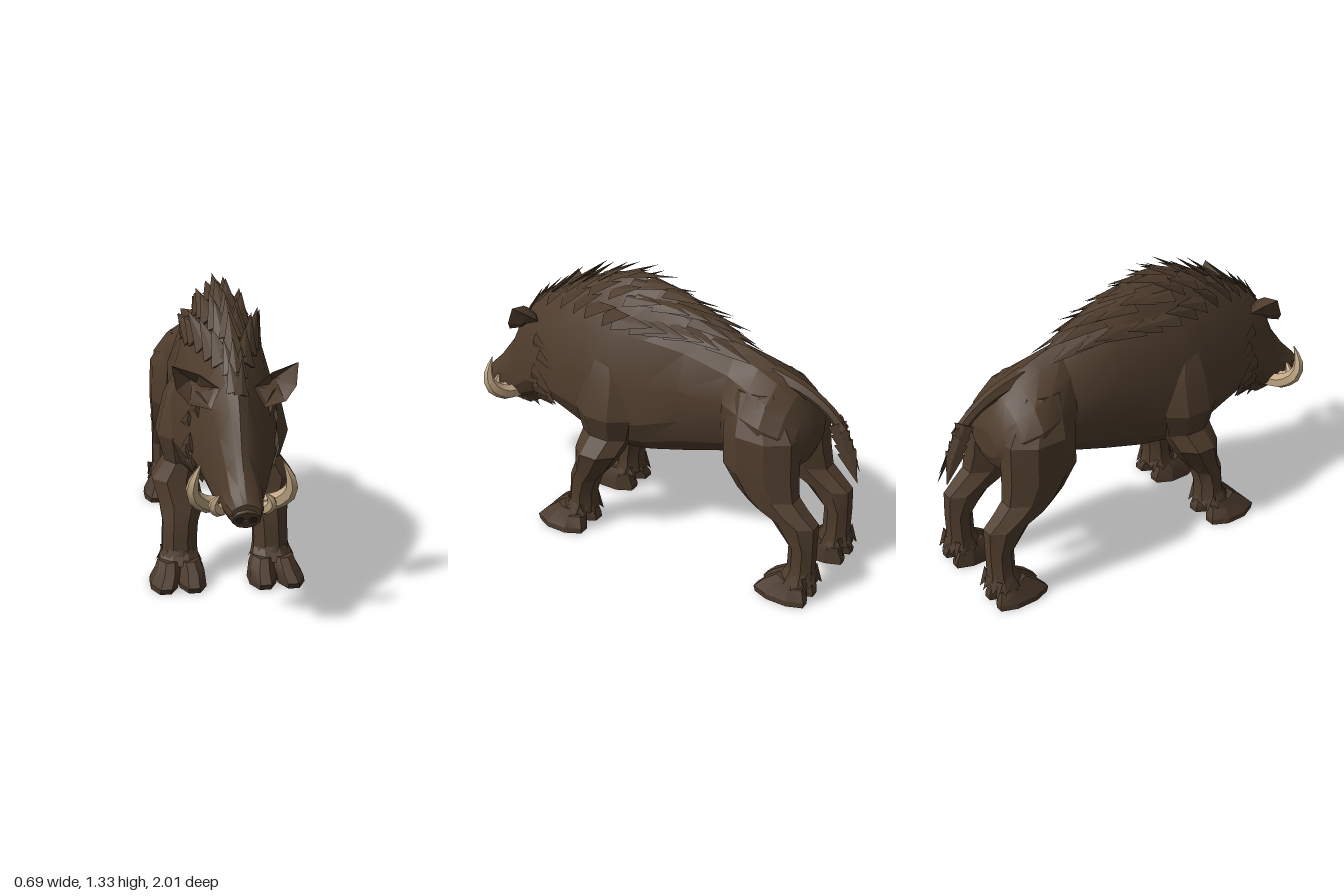
import * as THREE from 'three';
import { mergeGeometries, toCreasedNormals } from 'three/addons/utils/BufferGeometryUtils.js';

const V = (x, y, z) => new THREE.Vector3(x, y, z);
const mat = (name, color) => Object.assign(new THREE.MeshStandardMaterial({ color }), { name });

// Body sections along z: z, bottom, top, height of widest point, half width
const SECTIONS = [
  [0.99, 0.515, 0.585, 0.55, 0.06], [0.93, 0.48, 0.645, 0.55, 0.08], [0.84, 0.47, 0.765, 0.56, 0.09],
  [0.77, 0.46, 0.92, 0.6, 0.118], [0.68, 0.5, 1.03, 0.68, 0.155], [0.58, 0.55, 1.095, 0.7, 0.19],
  [0.45, 0.5, 1.17, 0.7, 0.215], [0.3, 0.43, 1.235, 0.7, 0.24], [0.15, 0.41, 1.265, 0.68, 0.25],
  [0, 0.43, 1.25, 0.7, 0.232], [-0.2, 0.48, 1.175, 0.78, 0.212], [-0.4, 0.54, 1.07, 0.78, 0.17],
  [-0.52, 0.56, 1.03, 0.78, 0.222], [-0.62, 0.56, 0.985, 0.77, 0.245], [-0.7, 0.57, 0.925, 0.75, 0.215],
  [-0.75, 0.59, 0.85, 0.73, 0.165], [-0.775, 0.65, 0.78, 0.71, 0.1],
];

// Point on a body section; a = 0 is the spine, PI is the belly
function ringPoint([z, bottom, top, mid, w], a) {
  const c = Math.cos(a), s = Math.sin(a);
  const x = Math.sign(s) * w * Math.pow(Math.abs(s), c > 0 ? 1.45 : 0.95);
  return V(x, c > 0 ? mid + (top - mid) * c : mid + (mid - bottom) * c, z);
}

// Point on the body skin at any z
function skin(z, a) {
  let i = 0;
  while (i < SECTIONS.length - 2 && SECTIONS[i + 1][0] > z) i++;
  const A = SECTIONS[i], B = SECTIONS[i + 1], t = (z - A[0]) / (B[0] - A[0]);
  return ringPoint(A.map((v, k) => v + (B[k] - v) * t), a);
}

// Closed skin through rings of equal length, always facing outward
function loft(rings, crease = 0.35) {
  const n = rings[0].length, pts = rings.flat(), idx = [];
  for (let r = 0; r < rings.length - 1; r++)
    for (let i = 0; i < n; i++) {
      const a = r * n + i, b = r * n + (i + 1) % n;
      idx.push(a, b, a + n, b, b + n, a + n);
    }
  [0, rings.length - 1].forEach((r) => {
    const mid = rings[r].reduce((m, p) => m.add(p), V(0, 0, 0)).divideScalar(n);
    const c = pts.push(mid) - 1;
    for (let i = 0; i < n; i++) {
      const a = r * n + i, b = r * n + (i + 1) % n;
      r ? idx.push(a, b, c) : idx.push(b, a, c);
    }
  });
  let volume = 0;
  for (let i = 0; i < idx.length; i += 3)
    volume += pts[idx[i]].dot(V(0, 0, 0).crossVectors(pts[idx[i + 1]], pts[idx[i + 2]]));
  if (volume < 0) idx.reverse();
  const g = new THREE.BufferGeometry().setFromPoints(pts);
  g.setIndex(idx);
  return toCreasedNormals(g, crease);
}

// Upright limb: rows of centre x, y, centre z, half x, half z
const limb = (rows, s, n = 8) => loft(rows.map(([cx, y, cz, hx, hz]) =>
  Array.from({ length: n }, (_, i) => {
    const a = ((i + 0.5) / n) * Math.PI * 2;
    return V(s * (cx + Math.cos(a) * hx * 1.06), y, cz + Math.sin(a) * hz * 1.06);
  })));

// Tapering horn or tail along a curve
function taper(points, radii, n = 6) {
  const steps = 8, curve = new THREE.CatmullRomCurve3(points);
  const f = curve.computeFrenetFrames(steps);
  return loft(Array.from({ length: steps + 1 }, (_, j) => {
    const t = j / steps, u = t * (radii.length - 1), k = Math.min(Math.floor(u), radii.length - 2);
    const r = radii[k] + (radii[k + 1] - radii[k]) * (u - k);
    return Array.from({ length: n }, (_, i) => {
      const a = (i / n) * Math.PI * 2;
      return curve.getPointAt(t).addScaledVector(f.normals[j], Math.cos(a) * r)
        .addScaledVector(f.binormals[j], Math.sin(a) * r);
    });
  }), 0.7);
}

// Flat pointed lock of hair
function lock(base, dir, out, length, width) {
  const y = dir.clone().normalize();
  const x = V(0, 0, 0).crossVectors(y, out).normalize();
  const z = V(0, 0, 0).crossVectors(x, y);
  const g = new THREE.ConeGeometry(1, 1, 4).toNonIndexed();
  g.translate(0, 0.4, 0).scale(width, length, width * 0.25);
  g.computeVertexNormals();
  return g.applyMatrix4(new THREE.Matrix4().makeBasis(x, y, z).setPosition(base));
}

export function createModel() {
  const model = new THREE.Group();
  const hide = mat('brown hide', 0x4e3c2c), bristle = mat('dark bristle', 0x4b3a2b);
  const horn = mat('ivory', 0xbfa684), dark = mat('dark nose', 0x30261d);
  const hoofMat = mat('hoof', 0x4a392b);
  const add = (name, geometry, material, parent = model) => {
    const m = new THREE.Mesh(geometry, material);
    m.name = name;
    parent.add(m);
  };
  let seed = 7;
  const rnd = () => (seed = (seed * 16807) % 2147483647) / 2147483647;

  // Head and trunk in one skin
  add('body', loft(SECTIONS.map((s) => Array.from({ length: 14 }, (_, i) => ringPoint(s, (i / 14) * Math.PI * 2)))), hide);

  // Mane: overlapping broad locks lying back along the spine
  const mane = [];
  for (let z = 0.73, row = 0; z > -0.34; z -= 0.085, row++) {
    const spread = 0.22 + 0.56 * Math.max(0, 1 - Math.pow((z - 0.1) / 0.56, 2));
    const count = Math.round(spread * 6) + 1 + (row % 2);
    for (let i = 0; i < count; i++) {
      const a = spread * ((i / (count - 1)) * 2 - 1);
      const p = skin(z + (rnd() - 0.5) * 0.04, a), out = V(Math.sin(a), Math.cos(a), 0);
      const back = skin(z - 0.08, a).sub(skin(z, a)).normalize();
      const lift = (z > 0.2 ? 0.24 : 0.1) + rnd() * 0.2;
      const size = z > 0.6 ? 0.13 : 0.18;
      mane.push(lock(p.addScaledVector(out, -0.004), back.addScaledVector(out, lift), out, size + rnd() * 0.05, z > 0.6 ? 0.034 : 0.05));
    }
  }
  add('mane', mergeGeometries(mane), bristle);

  // Hair on cheeks, jaw and chest
  const tufts = [];
  for (const s of [-1, 1]) {
    for (let i = 0; i < 7; i++) {
      const a = s * (1.1 + i * 0.2), p = skin(0.6 - (i % 2) * 0.04, a);
      tufts.push(lock(p, V(s * 0.25, -0.3, -0.9), V(s, 0, 0.25), 0.11, 0.045));
    }
    for (let i = 0; i < 3; i++)
      tufts.push(lock(V(s * 0.03, 0.48, 0.83 - i * 0.05), V(s * 0.1, -0.6, -0.7), V(s, 0, 0.3), 0.06, 0.03));
  }
  for (let i = 0; i < 4; i++) {
    const z = 0.48 - i * 0.08;
    tufts.push(lock(skin(z, Math.PI).add(V(0, 0.03, 0)), V(0, -1, -0.7), V(0, 0, 1), 0.12, 0.05));
  }
  add('cheekAndChestHair', mergeGeometries(tufts), bristle);

  // Lower jaw, snout disc and nostrils
  add('lowerJaw', loft([[0.92, 0.485, 0.03], [0.84, 0.45, 0.055], [0.74, 0.455, 0.08], [0.64, 0.51, 0.1]].map(([z, y, w]) =>
    [V(-w, y + 0.05, z), V(-w * 0.6, y, z), V(w * 0.6, y, z), V(w, y + 0.05, z)])), hide);
  const disc = new THREE.CylinderGeometry(0.058, 0.068, 0.035, 10).scale(1, 1, 0.7);
  add('noseDisc', disc.rotateX(Math.PI / 2 + 0.35).translate(0, 0.525, 0.973), hide);
  for (const s of [-1, 1])
    add('nostril', new THREE.CylinderGeometry(0.017, 0.017, 0.008, 8).rotateX(Math.PI / 2 + 0.35).translate(s * 0.027, 0.52, 0.988), dark);

  // Tail with a leaf-shaped tuft
  add('tail', taper([V(0, 0.965, -0.56), V(0, 0.935, -0.7), V(0, 0.875, -0.82), V(0, 0.79, -0.91)], [0.045, 0.033, 0.025, 0.026]), hide);
  const tailHair = [];
  for (let i = 0; i < 8; i++) {
    const s = (i % 2) * 2 - 1;
    tailHair.push(lock(V(s * 0.018, 0.83 - i * 0.02, -0.88 - i * 0.009), V(s * 0.08, -0.9, -0.38 - (i % 3) * 0.06), V(s * 0.8, 0, -0.6), 0.15, 0.042));
  }
  add('tailTuft', mergeGeometries(tailHair), bristle);

  // Leg rows: centre x, y, centre z, half x, half z
  const fore = [[0.13, 0.95, 0.2, 0.06, 0.08], [0.16, 0.82, 0.18, 0.095, 0.14], [0.19, 0.65, 0.18, 0.105, 0.15],
    [0.185, 0.53, 0.185, 0.075, 0.12], [0.215, 0.45, 0.21, 0.105, 0.11], [0.19, 0.34, 0.26, 0.1, 0.085],
    [0.2, 0.27, 0.3, 0.08, 0.07], [0.205, 0.19, 0.313, 0.078, 0.06], [0.205, 0.14, 0.315, 0.08, 0.065], [0.21, 0.09, 0.335, 0.095, 0.085]];
  const hind = [[0.1, 0.93, -0.53, 0.06, 0.1], [0.14, 0.76, -0.59, 0.115, 0.17], [0.155, 0.58, -0.6, 0.105, 0.17],
    [0.165, 0.48, -0.645, 0.085, 0.14], [0.17, 0.43, -0.7, 0.078, 0.135], [0.17, 0.38, -0.78, 0.068, 0.11],
    [0.175, 0.27, -0.832, 0.06, 0.06], [0.175, 0.16, -0.83, 0.06, 0.06], [0.18, 0.09, -0.82, 0.078, 0.085]];

  for (const s of [1, -1]) {
    const side = s > 0 ? 'left' : 'right';
    for (const [kind, rows, hx] of [['Foreleg', fore, 0.122], ['Hindleg', hind, 0.093]]) {
      const leg = new THREE.Group();
      leg.name = side + kind;
      model.add(leg);
      add('leg', limb(rows, s), hide, leg);
      const [x, , z] = rows[rows.length - 1];
      // Cloven hoof with dewclaws
      for (const t of [-1, 1]) {
        add('toe', limb([[x + t * hx * 0.36, 0.11, z + 0.015, hx * 0.38, 0.07],
          [x + t * hx * 0.43, 0.07, z + 0.045, hx * 0.45, 0.095],
          [x + 0.01 + t * hx * 0.5, 0.025, z + 0.057, hx * 0.5, 0.127],
          [x + 0.01 + t * hx * 0.52, 0, z + 0.053, hx * 0.5, 0.122]], s), hoofMat, leg);
        add('dewclaw', lock(V(s * (x + t * 0.05), 0.13, z - 0.055), V(s * t * 0.3, -1, -0.4), V(0, 0, -1), 0.09, 0.032), hoofMat, leg);
      }
      // Hair fringe over the hoof
      const fringe = [];
      for (let i = 0; i < 9; i++) {
        const a = (i / 9) * Math.PI * 2, o = V(Math.cos(a), 0, Math.sin(a));
        fringe.push(lock(V(s * x + o.x * hx * 0.57, 0.14, z - 0.012 + o.z * 0.055), V(o.x * 0.6, -1, o.z * 0.55), o, 0.08, 0.038));
      }
      add('fetlockHair', mergeGeometries(fringe), bristle, leg);
    }

    // Cupped ear
    const rim = [[0.07, 0.98, 0.69], [0.15, 1.035, 0.665], [0.262, 1.07, 0.645], [0.248, 0.98, 0.685], [0.2, 0.925, 0.715], [0.11, 0.905, 0.735]];
    const ring = (f, dz) => rim.map(([x, y, z]) => V(s * (0.16 + (x - 0.16) * f), 0.975 + (y - 0.975) * f, z + dz));
    add(side + 'Ear', loft([ring(0.2, -0.085), ring(0.65, -0.06), ring(1, 0), ring(0.8, -0.02), ring(0.2, -0.055)]), hide);

    // Long lower tusk and short upper tusk
    add(side + 'LowerTusk', taper([V(s * 0.06, 0.52, 0.785), V(s * 0.14, 0.53, 0.815), V(s * 0.2, 0.585, 0.85),
      V(s * 0.197, 0.65, 0.865), V(s * 0.165, 0.72, 0.86)], [0.036, 0.037, 0.033, 0.022, 0.002]), horn);
    add(side + 'UpperTusk', taper([V(s * 0.05, 0.53, 0.84), V(s * 0.1, 0.52, 0.865), V(s * 0.12, 0.55, 0.88),
      V(s * 0.095, 0.59, 0.885)], [0.028, 0.029, 0.023, 0.004]), horn);
  }
  return model;
}
